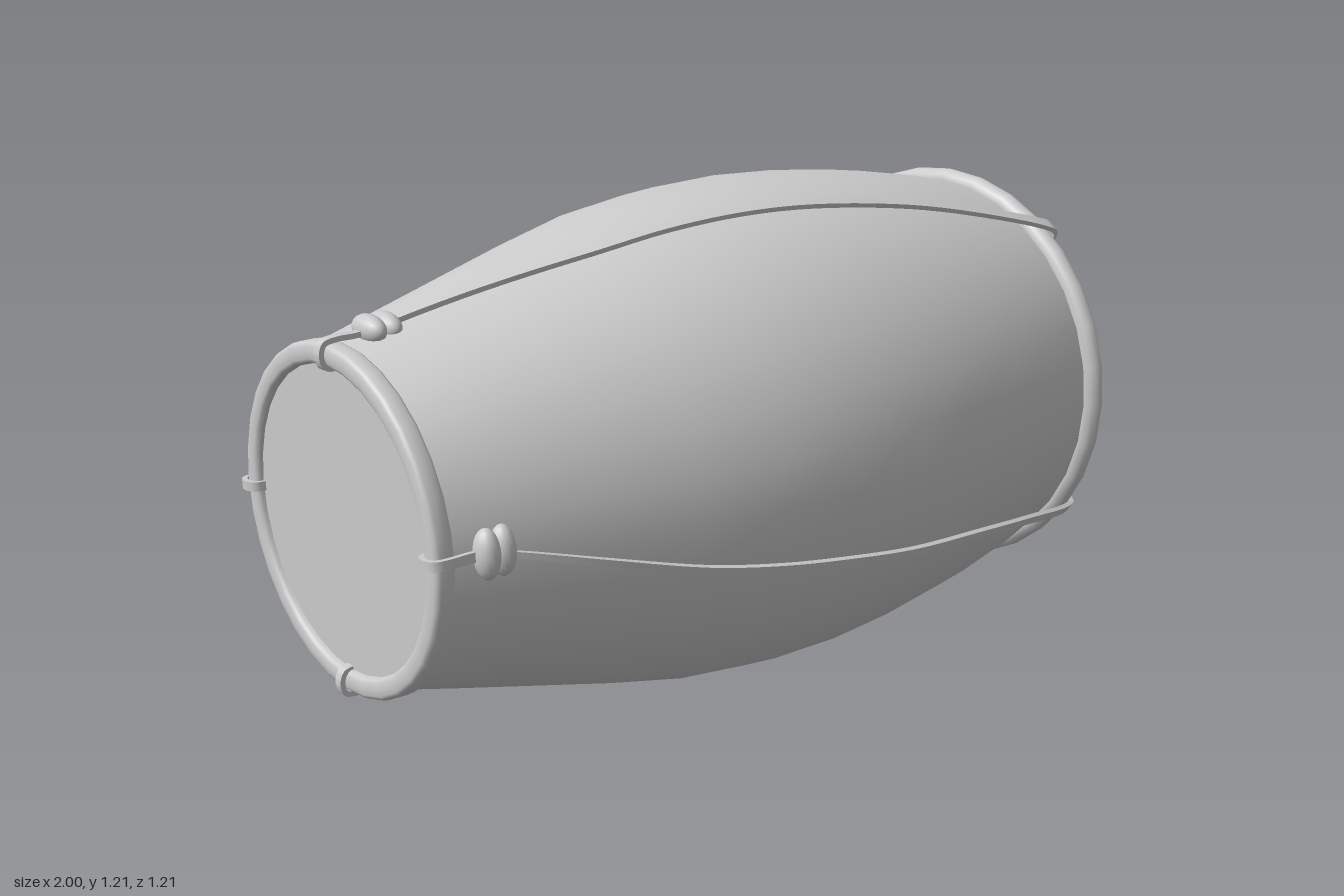
import * as THREE from 'three';
import { toCreasedNormals } from 'three/addons/utils/BufferGeometryUtils.js';

const SIDES = 32;
const AXIS_Y = 0.62;
const material = new THREE.MeshStandardMaterial({ color: 0xcccccc });

function add(parent, name, geometry) {
  const mesh = new THREE.Mesh(geometry, material);
  mesh.name = name;
  parent.add(mesh);
  return mesh;
}

// Surface of revolution about x from [x, radius] pairs
function turned(profile) {
  const points = profile.map(([x, r]) => new THREE.Vector2(r, x));
  return new THREE.LatheGeometry(points, SIDES).rotateZ(-Math.PI / 2);
}

// Position from distance along the drum, radius and angle (0 = front, PI/2 = top)
function polar(x, r, a) {
  return new THREE.Vector3(x, r * Math.sin(a), r * Math.cos(a));
}

// Flat strap swept along points [x, radius, angle, width]
function strap(points, thickness, steps) {
  const path = new THREE.CatmullRomCurve3(points.map(([x, r, a]) => new THREE.Vector3(x, r, a)));
  const widths = new THREE.CatmullRomCurve3(points.map((p) => new THREE.Vector3(p[3], 0, 0)), false, 'catmullrom');
  const at = (t) => {
    const p = path.getPoint(THREE.MathUtils.clamp(t, 0, 1));
    return polar(p.x, p.y, p.z);
  };
  const corners = [[-1, -1], [1, -1], [1, 1], [-1, 1]];
  const positions = [], index = [];
  for (let i = 0; i <= steps; i++) {
    const t = i / steps, a = path.getPoint(t).z;
    const centre = at(t);
    const tangent = at(t + 0.005).sub(at(t - 0.005)).normalize();
    const side = new THREE.Vector3(0, Math.cos(a), -Math.sin(a));
    const normal = tangent.clone().cross(side).normalize();
    side.crossVectors(normal, tangent);
    const w = widths.getPoint(t).x / 2;
    for (const [u, v] of corners) {
      const p = centre.clone().addScaledVector(side, u * w).addScaledVector(normal, v * thickness / 2);
      positions.push(p.x, p.y, p.z);
    }
    if (i === steps) break;
    for (let k = 0; k < 4; k++) {
      const p = i * 4 + k, q = i * 4 + (k + 1) % 4;
      index.push(p, q, q + 4, p, q + 4, p + 4);
    }
  }
  index.push(0, 2, 1, 0, 3, 2);
  const e = steps * 4;
  index.push(e, e + 1, e + 2, e, e + 2, e + 3);
  const geometry = new THREE.BufferGeometry();
  geometry.setAttribute('position', new THREE.Float32BufferAttribute(positions, 3));
  geometry.setIndex(index);
  return toCreasedNormals(geometry, 0.7);
}

// Long strap: over the shell from a bead and around the large rim
function tensionStrap(from, to) {
  const rows = [
    [-0.86, 0.405, 0, 0.012], [-0.62, 0.477, 0.21, 0.017], [-0.39, 0.54, 0.37, 0.022],
    [-0.2, 0.582, 0.44, 0.022], [0, 0.607, 0.5, 0.022], [0.2, 0.615, 0.57, 0.022],
    [0.5, 0.598, 0.68, 0.022], [0.75, 0.573, 0.82, 0.025], [0.945, 0.55, 0.96, 0.03],
    [0.983, 0.538, 0.985, 0.035], [0.991, 0.515, 1, 0.038], [0.982, 0.49, 1, 0.038],
    [0.95, 0.48, 1, 0.038],
  ];
  return strap(rows.map(([x, r, f, w]) => [x, r, from + (to - from) * f, w]), 0.012, 60);
}

// Short strap: from inside the small rim, around it and up to the bead
function rimLoop(a) {
  const rows = [[-0.96, 0.34], [-0.984, 0.346], [-0.993, 0.37], [-0.985, 0.395], [-0.955, 0.402], [-0.91, 0.402], [-0.85, 0.408]];
  return strap(rows.map(([x, r]) => [x, r, a, 0.022]), 0.012, 30);
}

export function createModel() {
  const model = new THREE.Group();
  model.name = 'barrelDrum';
  const drum = new THREE.Group();
  drum.name = 'drum';
  drum.position.y = AXIS_Y;
  model.add(drum);

  // Barrel shell
  add(drum, 'shell', turned([
    [-0.955, 0.375], [-0.8, 0.418], [-0.6, 0.472], [-0.4, 0.526], [-0.2, 0.574],
    [0, 0.6], [0.2, 0.607], [0.4, 0.598], [0.6, 0.577], [0.8, 0.543], [0.95, 0.508],
  ]));

  // Drum skins
  const smallSkin = add(drum, 'smallSkin', new THREE.CircleGeometry(0.37, SIDES).rotateY(-Math.PI / 2));
  smallSkin.position.x = -0.965;
  const largeSkin = add(drum, 'largeSkin', new THREE.CircleGeometry(0.51, SIDES).rotateY(Math.PI / 2));
  largeSkin.position.x = 0.96;

  // Round hoop at the large end
  const largeRim = add(drum, 'largeRim', new THREE.TorusGeometry(0.515, 0.03, 14, SIDES).rotateY(Math.PI / 2));
  largeRim.position.x = 0.947;

  // Squarer hoop at the small end
  const hoop = [];
  const soft = (v) => Math.sign(v) * Math.abs(v) ** 0.65;
  for (let i = 0; i <= 16; i++) {
    const a = -Math.PI + (i / 16) * Math.PI * 2;
    hoop.push([-0.957 + 0.026 * soft(Math.sin(a)), 0.369 + 0.026 * soft(Math.cos(a))]);
  }
  add(drum, 'smallRim', turned(hoop));

  // Beads near the small end, each with the straps it gathers
  const lacing = [
    { at: 0.06, to: [-0.62] },
    { at: Math.PI / 2, to: [0.911] },
    { at: Math.PI + 0.03, to: [2.565, 3.899] },
    { at: Math.PI * 1.5, to: [4.205] },
  ];
  for (const { at, to } of lacing) {
    const bead = new THREE.Group();
    bead.name = 'bead';
    bead.position.copy(polar(-0.852, 0.408, at));
    bead.rotation.x = -at;
    drum.add(bead);
    for (const s of [-1, 1]) {
      const half = add(bead, 'beadHalf', new THREE.SphereGeometry(1, 16, 12));
      half.scale.set(0.028, 0.055, 0.032);
      half.position.x = s * 0.019;
    }
    add(drum, 'rimLoop', rimLoop(at));
    for (const end of to) add(drum, 'tensionStrap', tensionStrap(at, end));
  }
  return model;
}
